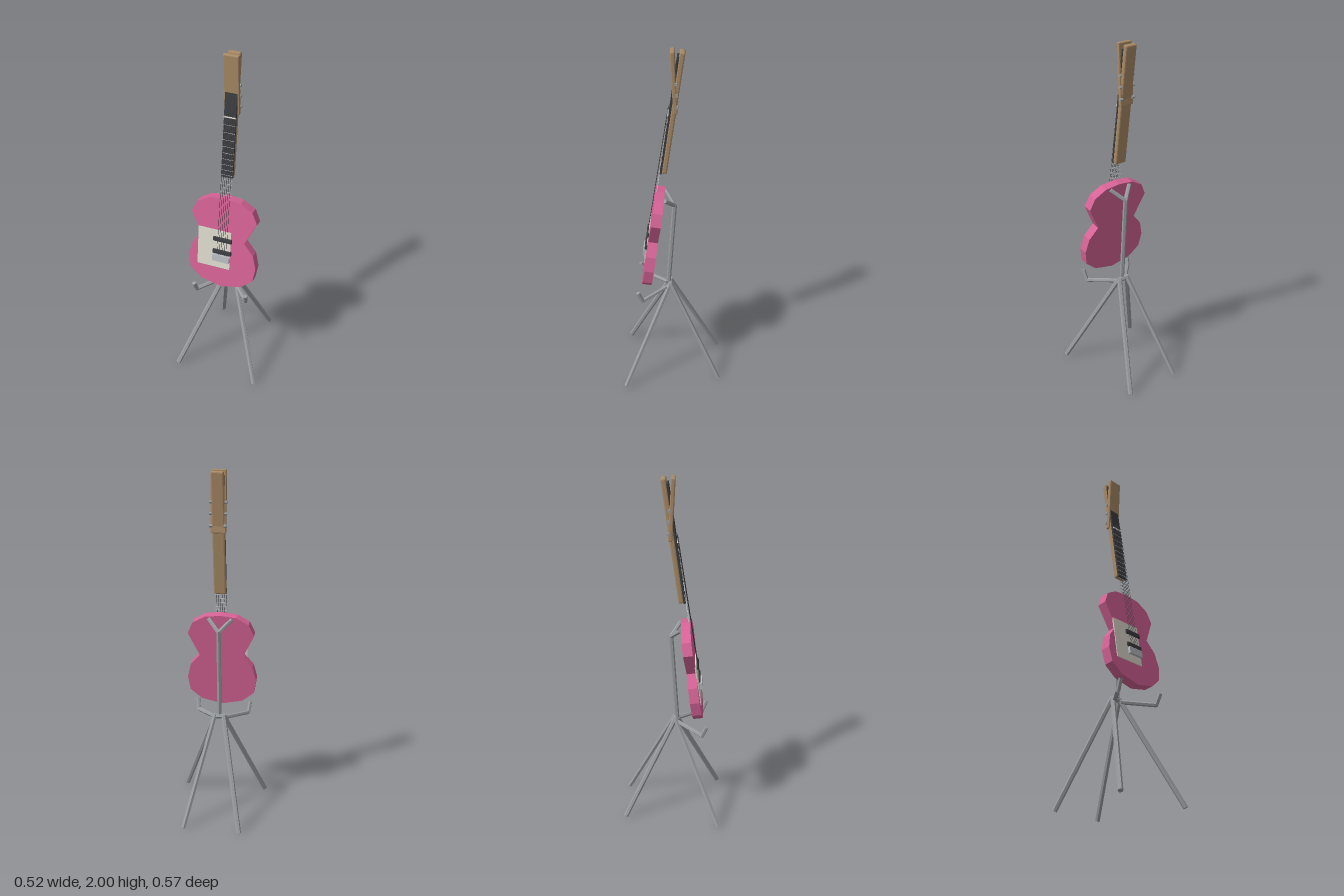
import * as THREE from 'three';
import { RoundedBoxGeometry } from 'three/addons/geometries/RoundedBoxGeometry.js';

const material = (color) => new THREE.MeshStandardMaterial({ color, flatShading: true });

export function createModel() {
  const model = new THREE.Group();
  const pink = material(0xd66396), wood = material(0xa88a66), dark = material(0x3c3d40);
  const metal = material(0x9a9da0), cream = material(0xdcd8cd), silver = material(0xb8bbc0);

  function add(parent, name, geometry, mat, x = 0, y = 0, z = 0) {
    const mesh = new THREE.Mesh(geometry, mat);
    mesh.name = name;
    mesh.position.set(x, y, z);
    parent.add(mesh);
    return mesh;
  }
  // Box given by its limits on each axis
  function box(parent, name, mat, x0, x1, y0, y1, z0, z1, round = 0) {
    const size = [x1 - x0, y1 - y0, z1 - z0];
    const geometry = round ? new RoundedBoxGeometry(...size, 1, round) : new THREE.BoxGeometry(...size);
    return add(parent, name, geometry, mat, (x0 + x1) / 2, (y0 + y1) / 2, (z0 + z1) / 2);
  }
  // Straight rod between two points
  function rod(parent, name, mat, from, to, radius, sides = 6) {
    const a = new THREE.Vector3(...from), b = new THREE.Vector3(...to);
    const dir = b.clone().sub(a);
    const mesh = add(parent, name, new THREE.CylinderGeometry(radius, radius, dir.length(), sides), mat);
    mesh.position.copy(a).add(b).multiplyScalar(0.5);
    mesh.quaternion.setFromUnitVectors(new THREE.Vector3(0, 1, 0), dir.normalize());
    return mesh;
  }

  // Guitar, leaning back; local z = 0 is the back of the body
  const guitar = new THREE.Group();
  guitar.name = 'guitar';
  guitar.position.z = 0.213;
  guitar.rotation.x = -0.1407;
  model.add(guitar);

  // Body: faceted figure-of-eight outline, mirrored
  const half = [[0, 0.633], [0.12, 0.66], [0.187, 0.717], [0.2, 0.8], [0.18, 0.882],
    [0.125, 0.947], [0.19, 1.083], [0.16, 1.15], [0.09, 1.19], [0, 1.2]];
  const mirrored = half.slice(1, -1).reverse().map(([x, y]) => [-x, y]);
  const outline = new THREE.Shape([...half, ...mirrored].map(([x, y]) => new THREE.Vector2(x, y)));
  add(guitar, 'body', new THREE.ExtrudeGeometry(outline, { depth: 0.053, bevelEnabled: false }), pink);

  // Fittings on the body
  box(guitar, 'pickguard', cream, -0.145, 0.048, 0.758, 0.998, 0.05, 0.057);
  box(guitar, 'neckPickup', dark, -0.055, 0.055, 0.93, 0.957, 0.05, 0.066, 0.005);
  box(guitar, 'bridgePickup', dark, -0.055, 0.055, 0.85, 0.877, 0.05, 0.066, 0.005);
  box(guitar, 'bridge', silver, -0.052, 0.047, 0.805, 0.845, 0.05, 0.071);

  // Neck, fretboard and nut
  box(guitar, 'neck', wood, -0.034, 0.034, 1.328, 2.012, 0.006, 0.034, 0.007);
  box(guitar, 'fretboard', dark, -0.033, 0.033, 1.325, 1.985, 0.033, 0.044);
  box(guitar, 'nut', cream, -0.032, 0.032, 1.667, 1.672, 0.043, 0.052);

  // Frets, closing up towards the body
  for (let i = 1; i <= 20; i++) {
    const y = 0.85 + 0.82 * Math.pow(2, -i / 12);
    box(guitar, 'fret', silver, -0.033, 0.033, y - 0.001, y + 0.001, 0.043, 0.046);
  }

  // Strings
  for (let i = 0; i < 6; i++) {
    const x = -0.0275 + i * 0.011;
    rod(guitar, 'string', dark, [x, 0.83, 0.062], [x * 0.95, 1.7, 0.05], 0.001, 4);
  }

  // Headstock, tilted forward, with a row of tuning pegs on both sides
  const headstock = new THREE.Group();
  headstock.name = 'headstock';
  headstock.position.set(0, 1.83, -0.005);
  headstock.rotation.x = 0.05;
  model.add(headstock);
  box(headstock, 'headPlate', wood, -0.042, 0.042, -0.165, 0.17, -0.011, 0.011, 0.005);
  for (const side of [-1, 1]) {
    for (const y of [0, -0.06, -0.125]) {
      rod(headstock, 'tuningPeg', metal, [side * 0.03, y, -0.012], [side * 0.047, y, -0.012], 0.009, 6);
    }
  }

  // Stand: central post and hub
  const stand = new THREE.Group();
  stand.name = 'stand';
  model.add(stand);
  rod(stand, 'post', metal, [0, 0.6, 0.025], [0, 1.115, -0.01], 0.013);
  rod(stand, 'hub', metal, [-0.032, 0.592, 0.015], [0.032, 0.592, 0.015], 0.014);

  // Legs, cradle arms with upturned tips, and fork behind the body
  for (const s of [-1, 1]) {
    rod(stand, 'frontLeg', metal, [s * 0.025, 0.6, 0.015], [s * 0.245, 0.008, 0.272], 0.014);
    rod(stand, 'backLeg', metal, [s * 0.025, 0.6, 0.015], [s * 0.16, 0.008, -0.273], 0.014);
    rod(stand, 'cradleArm', metal, [s * 0.025, 0.58, 0.03], [s * 0.15, 0.562, 0.17], 0.012);
    rod(stand, 'cradleTip', metal, [s * 0.149, 0.556, 0.167], [s * 0.157, 0.622, 0.195], 0.012);
    rod(stand, 'forkProng', metal, [0, 1.108, -0.01], [s * 0.065, 1.17, 0.042], 0.012);
  }

  return model;
}
